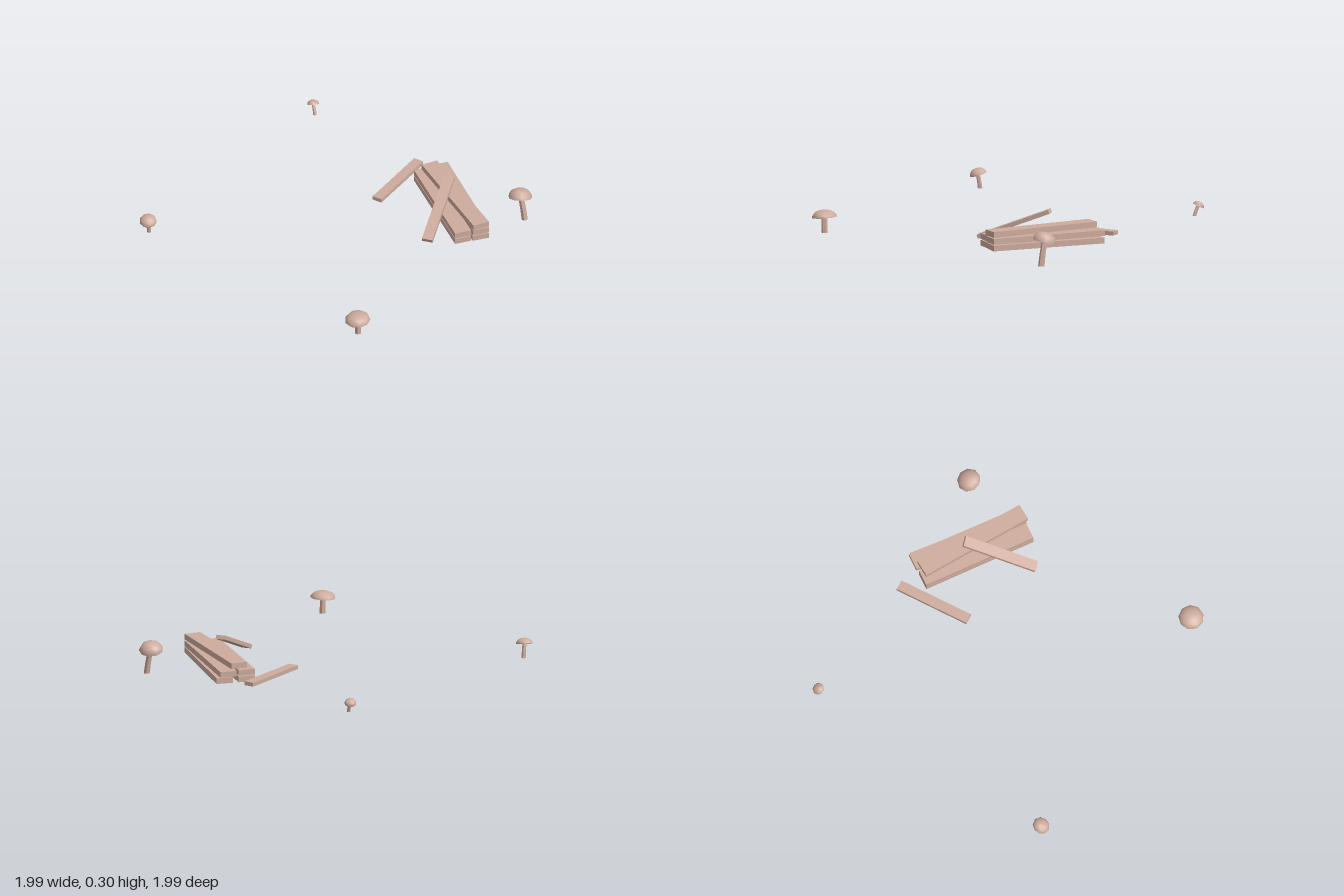
import * as THREE from 'three';
import { toCreasedNormals } from 'three/addons/utils/BufferGeometryUtils.js';

const material = new THREE.MeshStandardMaterial({ color: 0xcdab9d });
const capMaterial = new THREE.MeshStandardMaterial({ color: 0xcdab9d, side: THREE.DoubleSide });

// Straight board running from a to b, with its width kept level
function board(name, a, b, width, thickness) {
  const start = new THREE.Vector3(...a), end = new THREE.Vector3(...b);
  const along = end.clone().sub(start);
  const mesh = new THREE.Mesh(new THREE.BoxGeometry(width, thickness, along.length()), material);
  mesh.name = name;
  mesh.position.copy(start).add(end).multiplyScalar(0.5);
  mesh.lookAt(end);
  return mesh;
}

// Mushroom with a bent stem rising from base to a tilted cap
function mushroom(name, base, rim, radius, height, stemRadius, tilt) {
  const group = new THREE.Group();
  group.name = name;
  const up = new THREE.Vector3(tilt[0], 1, tilt[1]).normalize();
  const top = new THREE.Vector3(...rim).addScaledVector(up, height * 0.4);
  const foot = new THREE.Vector3(...base);

  // Stem: a six-sided cylinder whose rings follow a gentle bend
  const bend = new THREE.QuadraticBezierCurve3(
    foot,
    new THREE.Vector3((foot.x * 2 + top.x) / 3, (foot.y + top.y) / 2, (foot.z * 2 + top.z) / 3),
    top
  );
  const stemGeo = new THREE.CylinderGeometry(stemRadius * 0.9, stemRadius, 1, 6, 3);
  const pos = stemGeo.attributes.position;
  for (let i = 0; i < pos.count; i++) {
    const c = bend.getPoint(pos.getY(i) + 0.5);
    pos.setXYZ(i, pos.getX(i) + c.x, c.y, pos.getZ(i) + c.z);
  }
  const stem = new THREE.Mesh(toCreasedNormals(stemGeo, 0.6), material);
  stem.name = name + 'Stem';

  // Cap: hollow underside, rim, then the dome
  const profile = [[0, 0.4], [0.6, 0.25], [1, 0], [0.97, 0.28], [0.78, 0.68], [0.42, 0.94], [0, 1]]
    .map(([r, y]) => new THREE.Vector2(r * radius, y * height));
  const cap = new THREE.Mesh(toCreasedNormals(new THREE.LatheGeometry(profile, 9), 0.95), capMaterial);
  cap.name = name + 'Cap';
  cap.position.set(...rim);
  cap.quaternion.setFromUnitVectors(new THREE.Vector3(0, 1, 0), up);

  group.add(stem, cap);
  return group;
}

export function createModel() {
  const model = new THREE.Group();
  model.name = 'woodpileWithMushrooms';

  // Stacked beams in three layers: [name, height, x and z of each end]
  const beams = [
    ['lowerBeamLeft', 0.08, 0.365, 0.817, 0.785, 0.12],
    ['lowerBeamRight', 0.08, 0.469, 0.889, 0.919, 0.204],
    ['middleBeamLeft', 0.127, 0.365, 0.817, 0.785, 0.12],
    ['middleBeamRight', 0.127, 0.469, 0.891, 0.907, 0.18],
    ['topBeam', 0.175, 0.467, 0.894, 0.818, 0.16],
  ];
  for (const [name, y, x1, z1, x2, z2] of beams) {
    model.add(board(name, [x1, y, z1], [x2, y, z2], 0.117, 0.04));
  }

  // Loose planks: one leaning on the pile, one lying behind it
  model.add(board('leaningPlank', [0.193, 0.091, 0.638], [0.667, 0.288, 0.458], 0.075, 0.028));
  model.add(board('fallenPlank', [0.365, 0.09, 0.06], [0.9, 0.09, 0], 0.071, 0.028));

  // Mushrooms at the corners
  model.add(mushroom('frontLeftMushroom', [0.915, 0, 0.92], [0.912, 0.168, 0.883], 0.083, 0.064, 0.022, [0.25, -0.15]));
  model.add(mushroom('frontRightMushroom', [-0.908, 0.04, 0.907], [-0.912, 0.148, 0.905], 0.088, 0.05, 0.022, [-0.08, 0]));
  model.add(mushroom('backRightMushroom', [-0.89, 0.07, -0.945], [-0.905, 0.167, -0.942], 0.06, 0.042, 0.016, [-0.22, 0.2]));
  model.add(mushroom('backLeftMushroom', [0.918, 0.07, -0.925], [0.93, 0.138, -0.952], 0.042, 0.031, 0.013, [0.35, -0.35]));
  return model;
}
